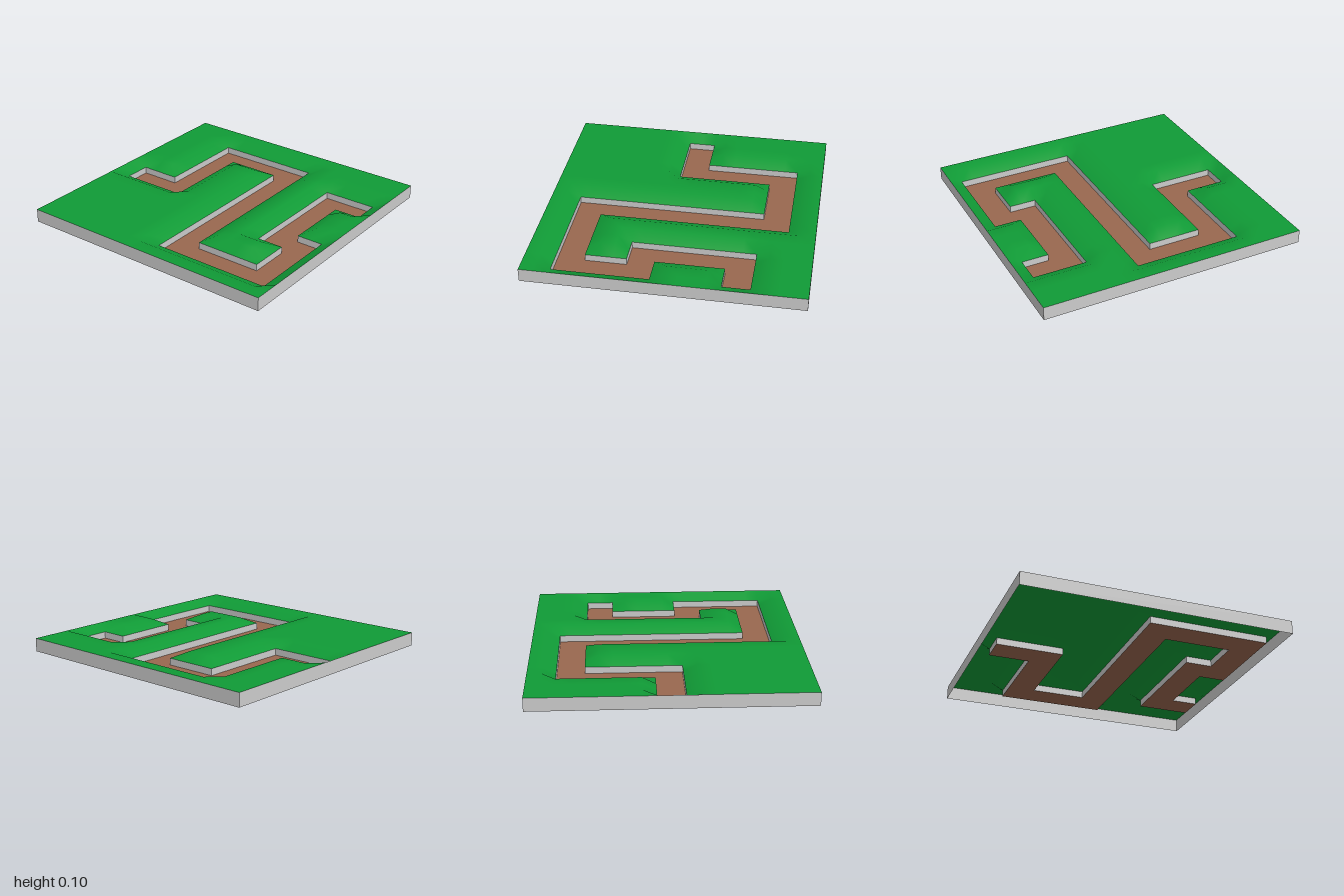
import * as THREE from 'three';
import { mergeVertices } from 'three/addons/utils/BufferGeometryUtils.js';

const CELL = 0.1;   // size of one ground cell
const HALF = 10;    // cells from the centre to the edge
const TOP = 0.1;    // height of the grass
const BANK = 0.05;  // height of the grass where it meets the path

// Path as overlapping strips of cells: x0, z0, x1, z1
const STRIPS = [
  [-9, -1, -4, 1], [-6, -8, -4, 1], [-6, -8, 2, -6],
  [0, -8, 2, 8], [0, 6, 9, 8], [7, 1, 9, 8],
  [5, 1, 9, 3], [5, -6, 7, 3], [5, -6, 9, -4],
];

const isPath = (i, k) => STRIPS.some(([x0, z0, x1, z1]) => i >= x0 && i < x1 && k >= z0 && k < z1);

// The grass dips at every grid corner touching a path cell
const grassHeight = (i, k) =>
  isPath(i, k) || isPath(i - 1, k) || isPath(i, k - 1) || isPath(i - 1, k - 1) ? BANK : TOP;

const point = (i, y, k) => [i * CELL, y, k * CELL];

// Quad a-b-c-d, counter-clockwise, split along b-d
function addQuad(list, a, b, c, d) {
  list.push(...a, ...b, ...d, ...b, ...c, ...d);
}

function makeMesh(name, list, color, smooth) {
  let geometry = new THREE.BufferGeometry();
  geometry.setAttribute('position', new THREE.Float32BufferAttribute(list, 3));
  if (smooth) geometry = mergeVertices(geometry, 1e-4);
  geometry.computeVertexNormals();
  const material = new THREE.MeshStandardMaterial({ color, side: THREE.DoubleSide });
  const mesh = new THREE.Mesh(geometry, material);
  mesh.name = name;
  return mesh;
}

export function createModel() {
  const grass = [], path = [], pathWalls = [], outerWalls = [];

  // Upright quad below the line from (i0,k0) to (i1,k1)
  const addWall = (list, i0, k0, i1, k1, height) =>
    addQuad(list, point(i0, height, k0), point(i0, 0, k0), point(i1, 0, k1), point(i1, height, k1));

  for (let k = -HALF; k < HALF; k++) {
    for (let i = -HALF; i < HALF; i++) {
      const onPath = isPath(i, k);
      const corner = (ci, ck) => point(ci, onPath ? 0 : grassHeight(ci, ck), ck);
      addQuad(onPath ? path : grass,
        corner(i, k), corner(i, k + 1), corner(i + 1, k + 1), corner(i + 1, k));

      // Low walls between the path and the grass, facing the path
      if (!onPath) continue;
      if (!isPath(i, k - 1)) addWall(pathWalls, i, k, i + 1, k, BANK);
      if (!isPath(i, k + 1)) addWall(pathWalls, i + 1, k + 1, i, k + 1, BANK);
      if (!isPath(i - 1, k)) addWall(pathWalls, i, k + 1, i, k, BANK);
      if (!isPath(i + 1, k)) addWall(pathWalls, i + 1, k, i + 1, k + 1, BANK);
    }
  }

  // Outer skirt, open underneath
  const rim = [[-HALF, HALF], [HALF, HALF], [HALF, -HALF], [-HALF, -HALF]];
  rim.forEach(([i, k], n) => addWall(outerWalls, i, k, ...rim[(n + 1) % 4], TOP));

  const model = new THREE.Group();
  model.name = 'pathTile';
  model.add(
    makeMesh('grass', grass, 0x109b36, true),
    makeMesh('path', path, 0x99674f, true),
    makeMesh('pathWalls', pathWalls, 0xcccccc, false),
    makeMesh('outerWalls', outerWalls, 0xcccccc, false),
  );
  return model;
}
